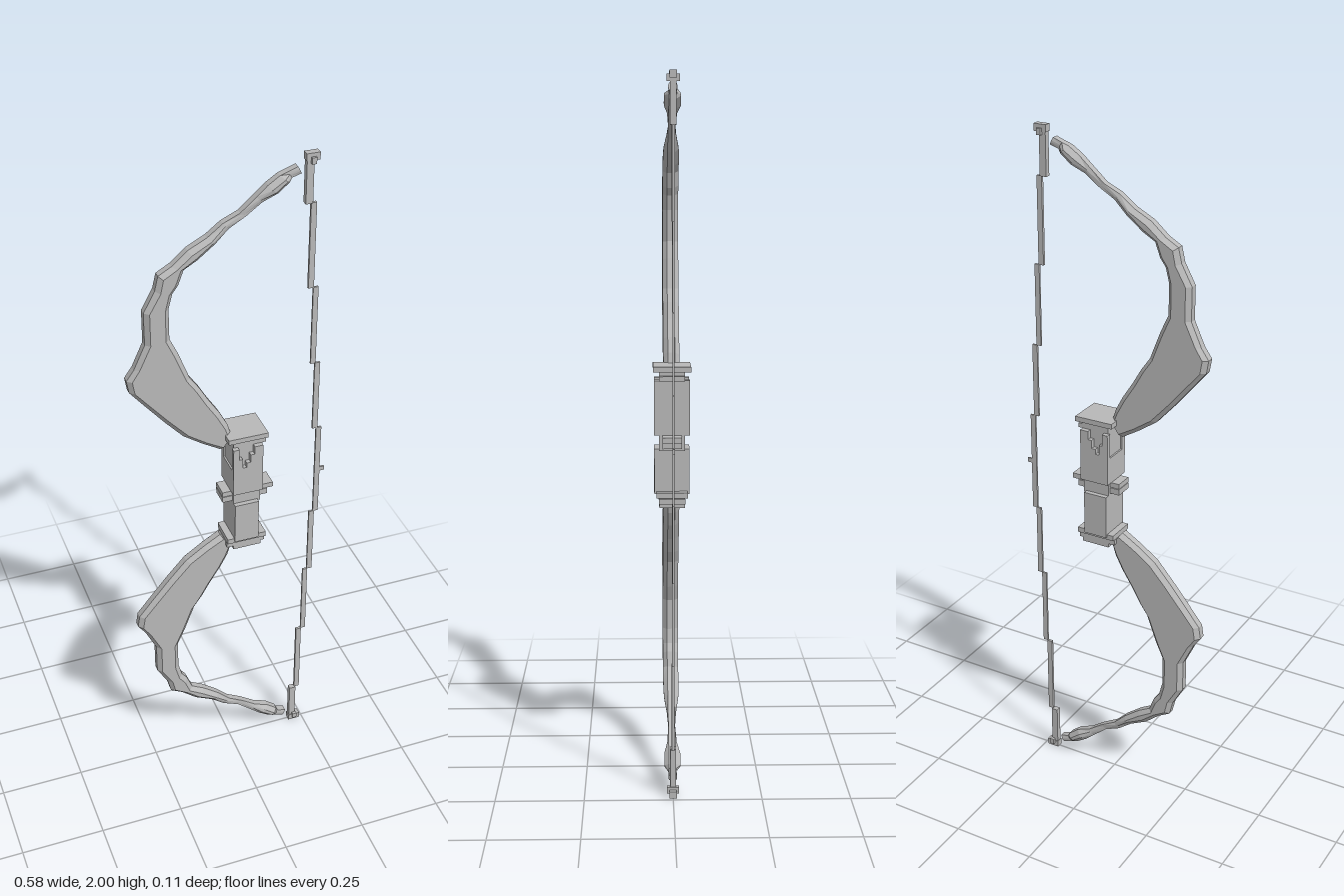
import * as THREE from 'three';

const grey = new THREE.MeshStandardMaterial({ color: 0xb8b8b8, flatShading: true });
grey.name = 'plain grey';

// Upper limb stations from tip to grip: outer x, y, inner x, y (hundredths)
const STATIONS = [
  [18, 197, 19, 195], [15.3, 196, 16.4, 194.2], [13.2, 195.3, 15.8, 193], [10, 193.2, 12.7, 190.5],
  [6.9, 190.5, 8.5, 188.8], [2.6, 186.8, 4.2, 185.7], [-2.1, 184.7, -0.5, 183], [-6.3, 181.5, -4.2, 179.3],
  [-11.6, 178.8, -9, 175.6], [-15.9, 175.1, -12.7, 173.5], [-19.6, 173, -14.3, 169.3], [-20.6, 168.8, -15.9, 167.2],
  [-23.8, 163, -17, 163], [-23.8, 153.4, -17, 154], [-27, 146.5, -14.8, 149.2], [-29.2, 143.4, -13.2, 145],
  [-28.6, 139.7, -11.6, 140.7], [-24.3, 134.4, -9, 137], [-19, 128, -6.3, 132.3], [-13.8, 122.2, -3.2, 127.5],
  [-8.5, 118.5, -1, 123.3], [-3.2, 115.3, 0, 120.1],
];

// Limb with chamfered edges; the chamfer shrinks where the limb is thin
function limbGeometry() {
  const rings = STATIONS.map((s) => {
    const [ox, oy, ix, iy] = s.map((v) => v / 100);
    const w = Math.hypot(ix - ox, iy - oy);
    const inset = Math.min(0.013, w * 0.4);
    const d = 0.01 + Math.max(0, Math.min(0.013, (w - 0.02) * 1.1));
    const at = (t, z) => [ox + (ix - ox) * t, oy + (iy - oy) * t, z];
    const t = inset / w, a = 0.01;
    return [at(0, a), at(t, d), at(1 - t, d), at(1, a), at(1, -a), at(1 - t, -d), at(t, -d), at(0, -a)];
  });
  const pos = [];
  const tri = (...p) => p.forEach((v) => pos.push(...v));
  for (let k = 0; k < rings.length - 1; k++) {
    const r = rings[k], n = rings[k + 1];
    for (let j = 0; j < 8; j++) {
      const m = (j + 1) % 8;
      tri(n[j], n[m], r[m]);
      tri(n[j], r[m], r[j]);
    }
  }
  const top = rings[0], end = rings[rings.length - 1];
  for (let j = 1; j < 7; j++) {
    tri(top[0], top[j], top[j + 1]);
    tri(end[0], end[j + 1], end[j]);
  }
  const g = new THREE.BufferGeometry();
  g.setAttribute('position', new THREE.Float32BufferAttribute(pos, 3));
  g.computeVertexNormals();
  return g;
}

// Box from x and y limits and half depth, centred on z
function box(parent, name, x0, x1, y0, y1, hz, z = 0) {
  const m = new THREE.Mesh(new THREE.BoxGeometry(x1 - x0, y1 - y0, hz * 2), grey);
  m.position.set((x0 + x1) / 2, (y0 + y1) / 2, z);
  m.name = name;
  parent.add(m);
}

// Limb, string half and nock, drawn for the upper side
function bowHalf(name) {
  const half = new THREE.Group();
  half.name = name;
  const limb = new THREE.Mesh(limbGeometry(), grey);
  limb.name = 'limb';
  half.add(limb);

  // Stepped bowstring
  [[0.205, 0.225, 1.86, 1.98, 0.008], [0.222, 0.238, 1.61, 1.86, 0.004], [0.237, 0.252, 1.37, 1.61, 0.003],
    [0.25, 0.266, 1.15, 1.37, 0.003], [0.262, 0.278, 1, 1.15, 0.003]]
    .forEach(([x0, x1, y0, y1, z]) => box(half, 'stringSegment', x0, x1, y0, y1, z));

  // String end knot
  box(half, 'stringEnd', 0.203, 0.24, 1.98, 2, 0.01);
  box(half, 'stringEndPin', 0.215, 0.228, 1.972, 1.99, 0.017);
  return half;
}

export function createModel() {
  const bow = new THREE.Group();
  bow.name = 'bow';
  bow.add(bowHalf('upperHalf'));
  const lower = bowHalf('lowerHalf');
  lower.rotation.x = Math.PI;
  lower.position.y = 2;
  bow.add(lower);
  box(bow, 'stringNock', 0.275, 0.292, 0.995, 1.008, 0.003);

  const grip = new THREE.Group();
  grip.name = 'grip';
  bow.add(grip);

  // Upper handle with a stepped notch in its front and back
  box(grip, 'upperHandle', -0.005, 0.083, 1.01, 1.09, 0.05);
  box(grip, 'upperNeck', 0, 0.085, 1.09, 1.19, 0.036);
  for (const s of [1, -1]) {
    [[-0.005, 0.012, 1.165], [0.012, 0.022, 1.13], [0.022, 0.034, 1.1], [0.034, 0.046, 1.115],
      [0.046, 0.058, 1.14], [0.058, 0.083, 1.165]]
      .forEach(([x0, x1, y]) => box(grip, 'notchStep', x0, x1, 1.09, y, 0.0075, s * 0.0425));
  }
  box(grip, 'topRim', 0.05, 0.096, 1.165, 1.178, 0.036);
  box(grip, 'topCap', -0.02, 0.097, 1.19, 1.205, 0.053);

  // Middle guard plates
  box(grip, 'guardPlate', -0.03, 0.123, 0.995, 1.01, 0.027);
  box(grip, 'guardLowerPlate', -0.03, 0.105, 0.975, 0.993, 0.027);
  box(grip, 'guardCore', 0, 0.08, 0.965, 1.01, 0.036);

  // Lower handle and foot
  box(grip, 'lowerHandle', 0, 0.072, 0.84, 0.97, 0.05);
  box(grip, 'footPlate', -0.02, 0.097, 0.832, 0.848, 0.044);
  box(grip, 'footRim', -0.02, 0.095, 0.815, 0.83, 0.037);
  box(grip, 'footBase', 0, 0.085, 0.802, 0.834, 0.036);
  return bow;
}
